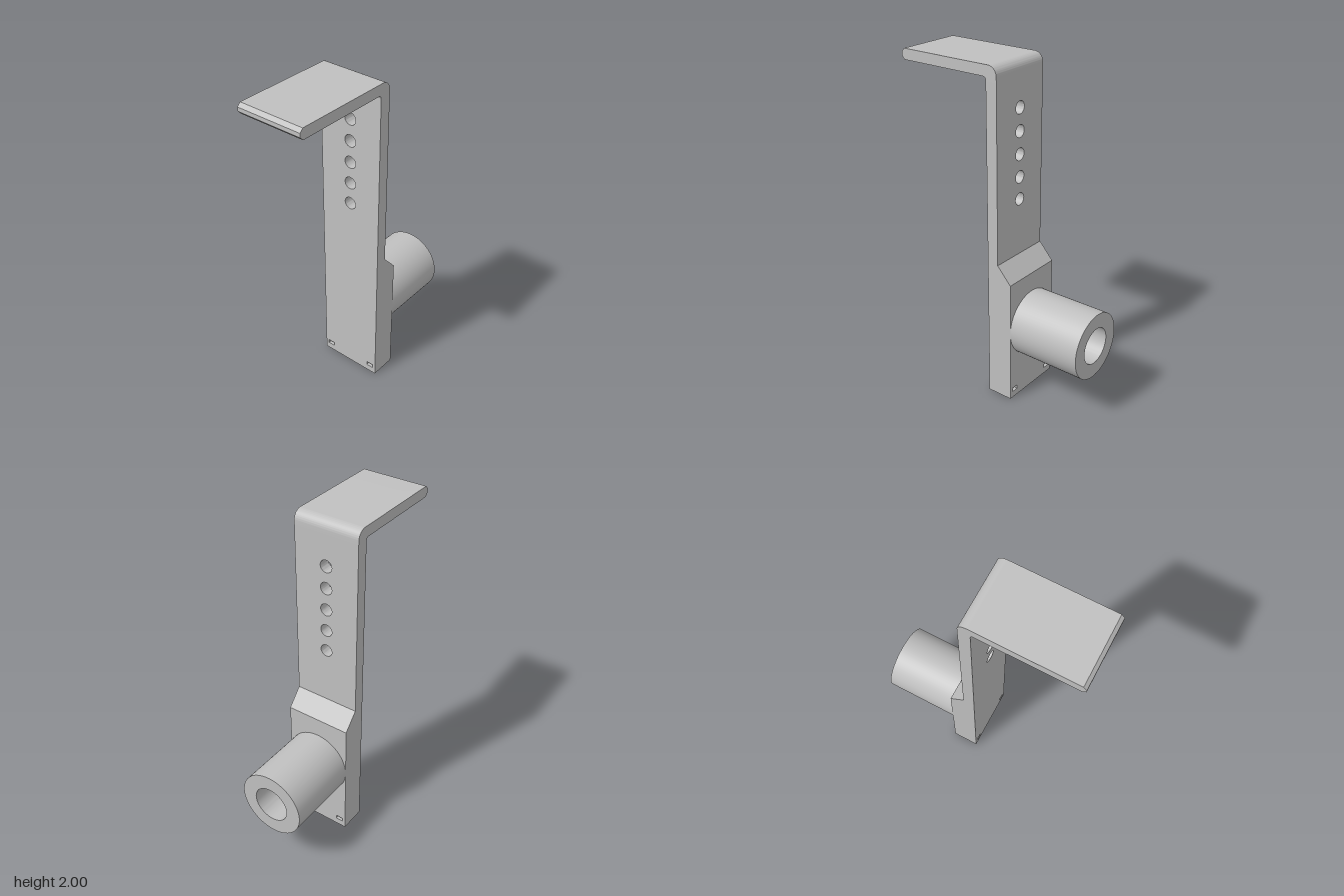
import * as THREE from 'three';
import { toCreasedNormals } from 'three/addons/utils/BufferGeometryUtils.js';

const HALF = 0.2;            // half width of the bracket
const BEND = 1.915;          // height where the bend starts
const BORE_Y = 0.453;        // height of the tube axis

const grey = new THREE.MeshStandardMaterial({ color: 0xc0c0c0 });
grey.name = 'grey';

function part(name, geometry) {
  const mesh = new THREE.Mesh(toCreasedNormals(geometry, 0.6), grey);
  mesh.name = name;
  return mesh;
}

function polygon(points) {
  return new THREE.Shape(points.map(([x, y]) => new THREE.Vector2(x, y)));
}

function circleHole(y, r) {
  const p = new THREE.Path();
  p.absarc(0, y, r, 0, Math.PI * 2, true);
  return p;
}

// Two small rectangular strap holes near the foot
function strapHoles() {
  return [-1, 1].map((s) => polygon(
    [[0.135, 0.04], [0.18, 0.04], [0.18, 0.064], [0.135, 0.064]].map(([u, y]) => [s * u, y])));
}

// Row of five adjustment holes
function adjustHoles() {
  return [0, 1, 2, 3, 4].map((i) => circleHole(1.21 + i * 0.1325, 0.037));
}

// Upright slab lying between two x positions
function layer(name, shape, holes, x0, x1) {
  shape.holes.push(...holes);
  const g = new THREE.ExtrudeGeometry(shape, { depth: x1 - x0, bevelEnabled: false, curveSegments: 20 });
  g.rotateY(Math.PI / 2).translate(x0, 0, 0);
  return part(name, g);
}

// Side profile swept across the full width
function across(name, shape) {
  const g = new THREE.ExtrudeGeometry(shape, { depth: HALF * 2, bevelEnabled: false, curveSegments: 12 });
  g.translate(0, 0, -HALF);
  return part(name, g);
}

export function createModel() {
  const model = new THREE.Group();
  model.name = 'bracket';

  // Upright: back slab, and a middle slab notched by the bottom slot
  model.add(layer('uprightBack',
    polygon([[-HALF, 0], [HALF, 0], [HALF, BEND], [-HALF, BEND]]),
    [...strapHoles(), ...adjustHoles()], -0.01, 0.035));
  model.add(layer('uprightMiddle',
    polygon([[-HALF, 0], [-0.13, 0], [-0.13, 0.1], [0.13, 0.1], [0.13, 0],
      [HALF, 0], [HALF, BEND], [-HALF, BEND]]),
    [...strapHoles(), ...adjustHoles()], 0.035, 0.06));

  // Thick lower block with the narrow end of the bore
  model.add(layer('lowerBlock',
    polygon([[-HALF, 0], [HALF, 0], [HALF, 0.77], [-HALF, 0.77]]),
    [...strapHoles(), circleHole(BORE_Y, 0.075)], 0.06, 0.15));
  model.add(across('slopedShoulder', polygon([[0.06, 0.77], [0.15, 0.77], [0.06, 0.87]])));

  // Top arm with rounded bend and softened tip
  const arm = new THREE.Shape();
  arm.moveTo(-0.01, BEND);
  arm.lineTo(0.06, BEND);
  arm.lineTo(0.06, 1.945);
  arm.absarc(0.005, 1.945, 0.055, 0, Math.PI / 2, false);
  arm.lineTo(-0.585, 2);
  arm.lineTo(-0.604, 1.98);
  arm.lineTo(-0.604, 1.957);
  arm.lineTo(-0.585, 1.937);
  arm.lineTo(-0.03, 1.937);
  arm.quadraticCurveTo(-0.01, 1.937, -0.01, BEND);
  model.add(across('topArm', arm));

  // Hollow tube
  const profile = [[0.2, 0], [0.2, 0.45], [0.11, 0.45], [0.11, 0]]
    .map(([r, h]) => new THREE.Vector2(r, h));
  const tube = new THREE.LatheGeometry(profile, 64);
  tube.rotateZ(-Math.PI / 2).translate(0.15, BORE_Y, 0);
  model.add(part('tube', tube));

  return model;
}
